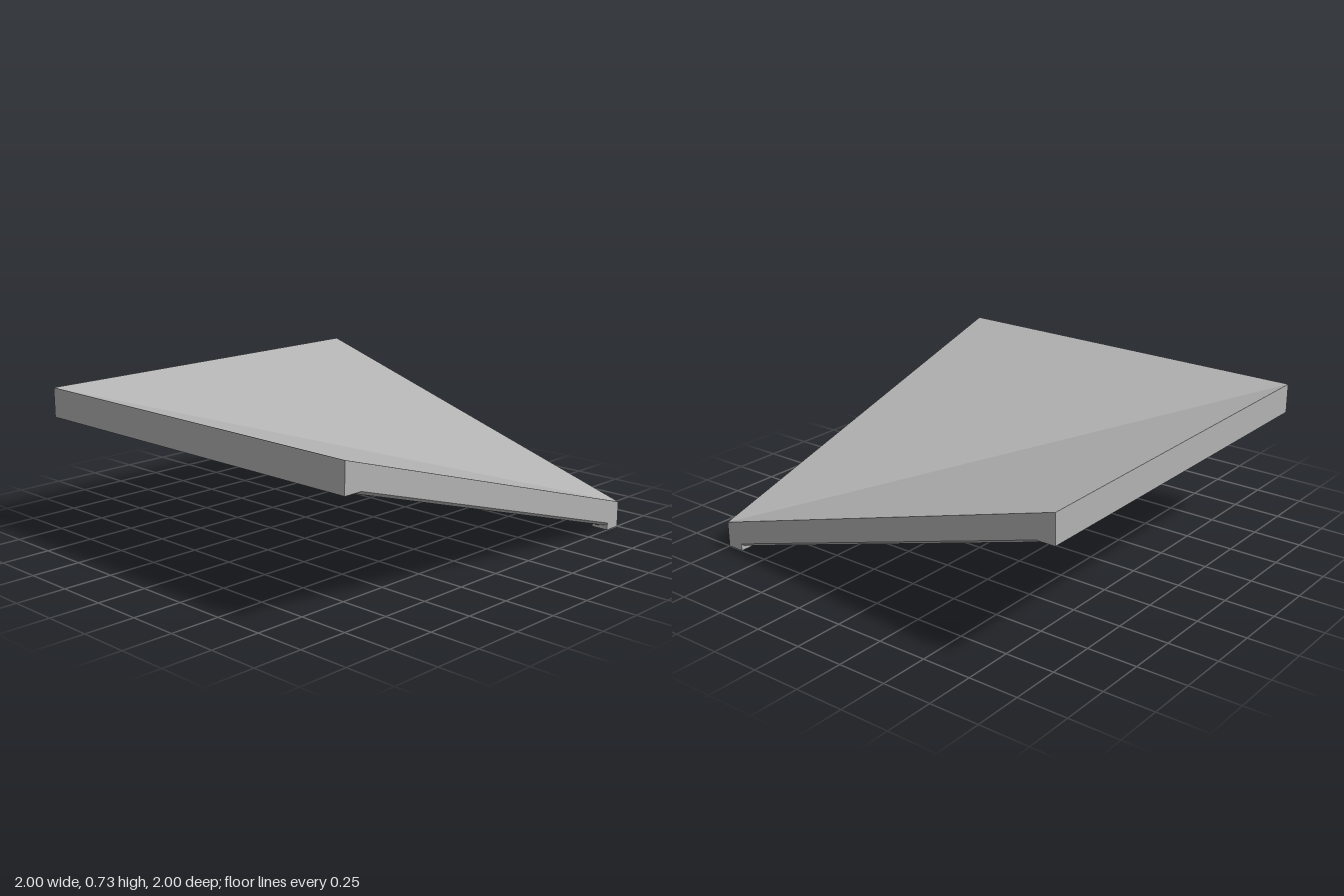
import * as THREE from 'three';

const SLAB = 0.1, WIDTH = 0.09, EAVE = 0.58;

// Two roof planes that meet in a diagonal valley
const roofY = (x, z) => 0.43 - 0.3 * Math.min(x, z);

// Closed, flat-shaded solid between two matching rings of points
function loft(a, b) {
  const tris = [], n = a.length;
  for (let i = 0; i < n; i++) {
    const j = (i + 1) % n;
    tris.push([a[i], a[j], b[j]], [a[i], b[j], b[i]]);
  }
  for (let i = 1; i < n - 1; i++) tris.push([a[0], a[i + 1], a[i]], [b[0], b[i], b[i + 1]]);
  // The signed volume tells whether the corners run the right way round
  const v = p => new THREE.Vector3(...p);
  const volume = tris.reduce((s, [p, q, r]) => s + v(p).dot(v(q).cross(v(r))), 0);
  if (volume < 0) tris.forEach(t => t.reverse());
  const geometry = new THREE.BufferGeometry();
  geometry.setAttribute('position', new THREE.Float32BufferAttribute(tris.flat(2), 3));
  geometry.computeVertexNormals();
  return geometry;
}

export function createModel() {
  const group = new THREE.Group();
  const grey = new THREE.MeshStandardMaterial({ color: 0xb4b4b4 });
  grey.name = 'roofGrey';
  const add = (name, geometry) => {
    const mesh = new THREE.Mesh(geometry, grey);
    mesh.name = name;
    group.add(mesh);
    return mesh;
  };

  // Roof slab, folded along the valley
  const corners = [[-1, -1], [-1, 1], [1, 1], [1, -1]];
  const layer = drop => corners.map(([x, z]) => [x, roofY(x, z) - drop, z]);
  add('roofSlab', loft(layer(0), layer(SLAB)));

  // Rib profile: distance across, drop below the roof surface
  const rib = [[0, SLAB], [0, 0.12], [0.015, 0.135], [WIDTH - 0.015, 0.135], [WIDTH, 0.12], [WIDTH, SLAB]];
  // Level beam profile: distance inward from the outer edge, height
  const level = [[0, 0.63], [0, EAVE], [WIDTH, EAVE], [WIDTH, 0.603]];

  // Sloping rims and level beams, mirrored across the valley
  for (const swap of [false, true]) {
    const place = (x, y, z) => swap ? [z, y, x] : [x, y, z];
    const rim = x => rib.map(([w, d]) => place(x, 0.43 - 0.3 * x - d, 1 - w));
    add(swap ? 'leftSlopingRim' : 'frontSlopingRim', loft(rim(-1), rim(1 - WIDTH)));
    const beam = x => level.map(([w, y]) => place(x, y, w - 1));
    add(swap ? 'rightLevelBeam' : 'backLevelBeam', loft(beam(-1), beam(1)));
  }

  // Rib under the valley
  const valley = s => rib.map(([w, d]) => {
    const off = (w - WIDTH / 2) * Math.SQRT1_2;
    return [s + off, 0.43 - 0.3 * s - (d === SLAB ? 0.08 : d), s - off];
  });
  add('valleyRib', loft(valley(-0.95), valley(0.93)));

  // Foot at the low corner
  add('cornerFoot', new THREE.BoxGeometry(WIDTH, 0.06, WIDTH))
    .position.set(1 - WIDTH / 2, 0.03, 1 - WIDTH / 2);

  return group;
}
